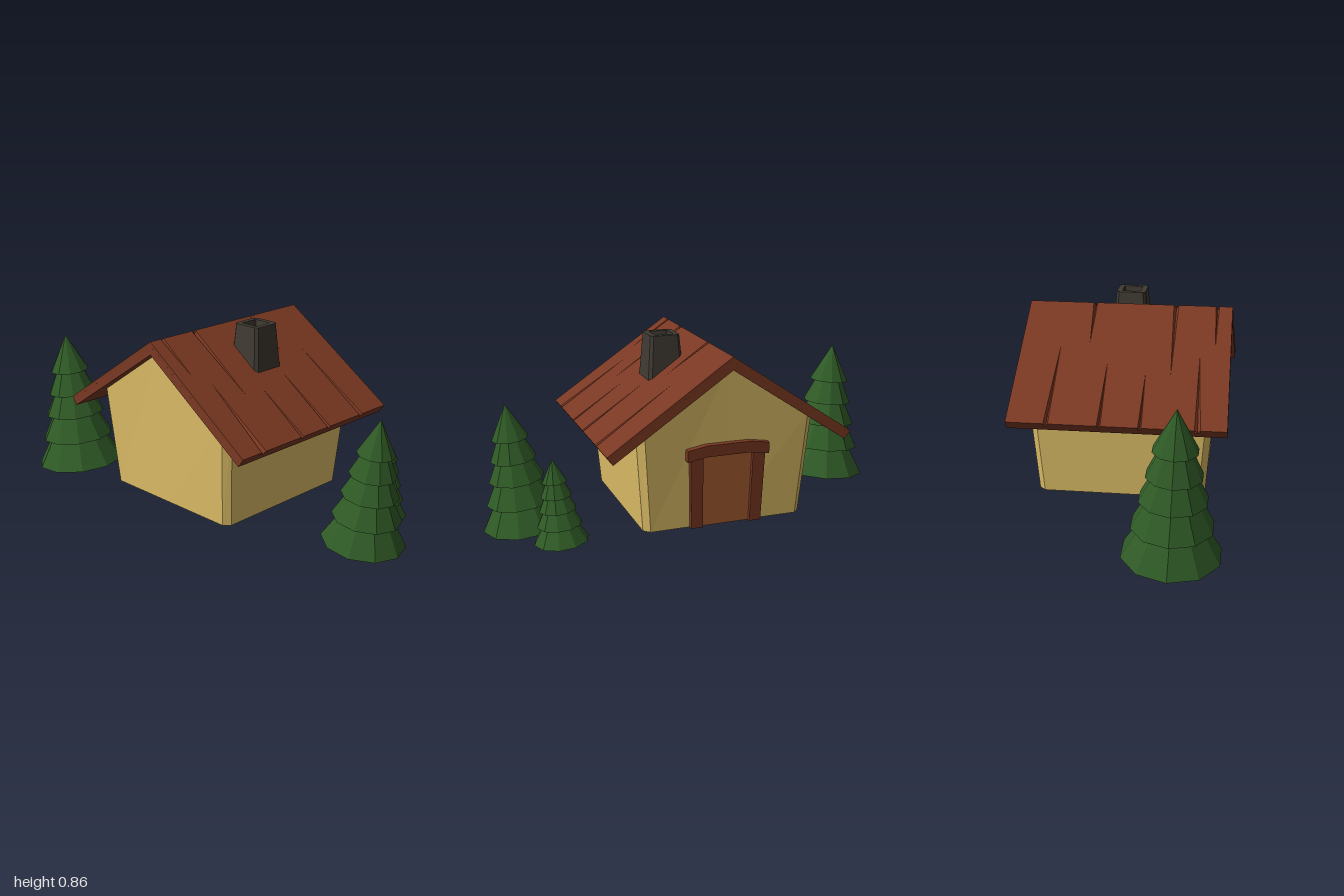
import * as THREE from 'three';

const mat = (color) => new THREE.MeshStandardMaterial({ color, flatShading: true, side: THREE.DoubleSide });
const wallMat = mat(0xe0c068), roofMat = mat(0x7a3822), doorMat = mat(0xa86032);
const stoneMat = mat(0x3f3a32), leafMat = mat(0x2f5a26);

function add(parent, name, geometry, material) {
  const mesh = new THREE.Mesh(geometry, material);
  mesh.name = name;
  parent.add(mesh);
  return mesh;
}

function fromTriangles(points) {
  const g = new THREE.BufferGeometry();
  g.setAttribute('position', new THREE.Float32BufferAttribute(points.flat(), 3));
  g.computeVertexNormals();
  return g;
}

// Skin a list of equal-length rings, optionally closing the first one
function loft(rings, capBottom) {
  const tris = [], n = rings[0].length;
  for (let i = 0; i < n; i++) {
    const j = (i + 1) % n;
    for (let k = 0; k + 1 < rings.length; k++) {
      const a = rings[k][i], b = rings[k][j], c = rings[k + 1][j], d = rings[k + 1][i];
      tris.push(a, d, b, b, d, c);
    }
    if (capBottom) tris.push([0, rings[0][0][1], 0], rings[0][i], rings[0][j]);
  }
  return fromTriangles(tris);
}

// Square with chamfered corners, plus mid points on the two x sides
function chamferRing(h, c) {
  return [[h, 0], [h, h - c], [h - c, h], [c - h, h], [-h, h - c],
    [-h, 0], [-h, c - h], [c - h, -h], [h - c, -h], [h, c - h]];
}

// Outline given as [z, y] pairs, extruded along x from x0 to x1
function extrudeX(outline, x0, x1) {
  const shape = new THREE.Shape(outline.map(([z, y]) => new THREE.Vector2(-z, y)));
  return new THREE.ExtrudeGeometry(shape, { depth: x1 - x0, bevelEnabled: false })
    .translate(0, 0, x0).rotateY(Math.PI / 2);
}

function shiftX(geometry, rule) {
  const p = geometry.attributes.position;
  for (let i = 0; i < p.count; i++) p.setX(i, rule(p.getX(i), p.getY(i)));
  geometry.computeVertexNormals();
  return geometry;
}

// Walls flare outward with height and rise into the gables
const FLARE = 0.065, FLOOR = 0.07;
function buildWalls(house) {
  const bottom = chamferRing(0.368, 0.027).map(([x, z]) => [x, FLOOR, z]);
  const top = chamferRing(0.405, 0.03).map(([x, z]) => {
    const y = 0.80 - 0.673 * Math.abs(z);
    return [x + Math.sign(x) * FLARE * Math.max(0, y - 0.54) * 0.6, y, z];
  });
  add(house, 'walls', loft([bottom, top], true), wallMat);
}

// Door, posts and arched lintel lean with the flared wall
function buildDoor(house) {
  const door = new THREE.Group();
  door.name = 'doorway';
  const lean = (outline, x1) => shiftX(extrudeX(outline, 0.355, x1), (x, y) => x + (y - FLOOR) * FLARE);
  add(door, 'door', lean([[-0.125, FLOOR], [0.125, FLOOR], [0.125, 0.41], [-0.125, 0.41]], 0.374), doorMat);
  for (const s of [1, -1]) {
    add(door, s > 0 ? 'frontDoorPost' : 'backDoorPost',
      lean([[s * 0.11, FLOOR], [s * 0.163, FLOOR], [s * 0.172, 0.40], [s * 0.115, 0.40]], 0.391), roofMat);
  }
  add(door, 'lintel', lean([[-0.188, 0.385], [-0.1, 0.4], [0.1, 0.4], [0.188, 0.385],
    [0.188, 0.437], [0.1, 0.452], [-0.1, 0.452], [-0.188, 0.437]], 0.397), roofMat);
  house.add(door);
}

// Cracks: [x, width, tip x, tip distance from ridge along z]
const ridgeCracks = [[-0.39, 0.016, -0.392, 0.19], [-0.205, 0.022, -0.21, 0.325], [0.16, 0.018, 0.158, 0.19]];
const eaveCracks = [[-0.342, 0.025, -0.328, 0.245], [-0.102, 0.014, -0.102, 0.32],
  [0.07, 0.016, 0.068, 0.28], [0.293, 0.02, 0.284, 0.21]];

function buildRoof(house) {
  const roof = new THREE.Group();
  roof.name = 'roof';
  const depth = 0.015, slope = Math.atan(0.676), len = 0.67;
  const ca = Math.cos(slope), sa = Math.sin(slope);
  const ez = 0.555 - depth * sa, ey = 0.465 - depth * ca;

  // Chevron slab under the cracked covering
  const slab = extrudeX([[0, 0.84 - depth / ca], [ez, ey], [0.529, 0.428], [0, 0.782],
    [-0.529, 0.428], [-ez, ey]], -1, 1);
  add(roof, 'roofSlab', shiftX(slab, (x, y) => x * (0.457 + 0.008 * (0.84 - y) / 0.4)), roofMat);

  for (const s of [1, -1]) {
    const side = new THREE.Group();
    side.name = s > 0 ? 'frontRoofCovering' : 'backRoofCovering';
    const outline = [[-0.457, 0]], grooves = [];
    const cut = (list, y0, dir) => {
      const cracks = list.map(([x, w, tx, tz]) => [x * s, w / 2, tx * s, -tz / ca]);
      cracks.sort((a, b) => (a[0] - b[0]) * dir);
      for (const [x, h, tx, ty] of cracks) {
        outline.push([x - h * dir, y0], [tx, ty], [x + h * dir, y0]);
        const valley = [x, y0, -depth], tip = [tx, ty, 0];
        const l = [x - h * dir, y0, 0], r = [x + h * dir, y0, 0];
        grooves.push(l, tip, valley, valley, tip, r);
      }
    };
    cut(ridgeCracks, 0, 1);
    outline.push([0.457, 0], [0.465, -len]);
    cut(eaveCracks, -len, -1);
    outline.push([-0.465, -len]);
    const shape = new THREE.Shape(outline.map(([x, y]) => new THREE.Vector2(x, y)));
    const cover = new THREE.ExtrudeGeometry(shape, { depth, bevelEnabled: false }).translate(0, 0, -depth);
    for (const [name, g] of [['roofBoards', cover], ['roofCracks', fromTriangles(grooves)]]) {
      add(side, name, g.rotateX(slope - Math.PI / 2).translate(0, 0.84, 0), roofMat);
    }
    side.rotation.y = s > 0 ? 0 : Math.PI;
    roof.add(side);
  }
  house.add(roof);
}

// Tapered chimney with chamfered corners and an open flue
function buildChimney(house) {
  const rings = [[0.083, 0.014, 0.665], [0.067, 0.012, 0.866], [0.043, 0.003, 0.866], [0.024, 0.002, 0.70]]
    .map(([h, c, y]) => chamferRing(h, c).map(([x, z]) => [x, y, z]));
  add(house, 'chimney', loft(rings, false), stoneMat).position.set(0.013, 0, 0.17);
}

// Five-tier conifer: profile as [radius, height] fractions
const tiers = [[0, 0], [1, 0], [0.62, 0.21], [0.82, 0.205], [0.5, 0.4], [0.68, 0.39], [0.41, 0.565],
  [0.56, 0.555], [0.31, 0.73], [0.45, 0.725], [0, 1]];
function buildTree(name, base, apex, radius) {
  const from = new THREE.Vector3(...base), axis = new THREE.Vector3(...apex).sub(from);
  const height = axis.length();
  const profile = tiers.map(([r, y]) => new THREE.Vector2(r * radius, y * height));
  const tree = new THREE.Mesh(new THREE.LatheGeometry(profile, 10), leafMat);
  tree.name = name;
  tree.position.copy(from);
  tree.quaternion.setFromUnitVectors(new THREE.Vector3(0, 1, 0), axis.normalize());
  return tree;
}

export function createModel() {
  const model = new THREE.Group();
  model.name = 'cottageWithTrees';
  const house = new THREE.Group();
  house.name = 'house';
  buildWalls(house);
  buildDoor(house);
  buildRoof(house);
  buildChimney(house);
  model.add(house,
    buildTree('frontTallTree', [-0.003, 0.04, 0.82], [0, 0.6, 0.88], 0.182),
    buildTree('frontSmallTree', [0.258, 0.045, 0.708], [0.253, 0.415, 0.737], 0.119),
    buildTree('backTree', [-0.26, 0.024, -0.787], [-0.28, 0.67, -0.843], 0.211));
  return model;
}
